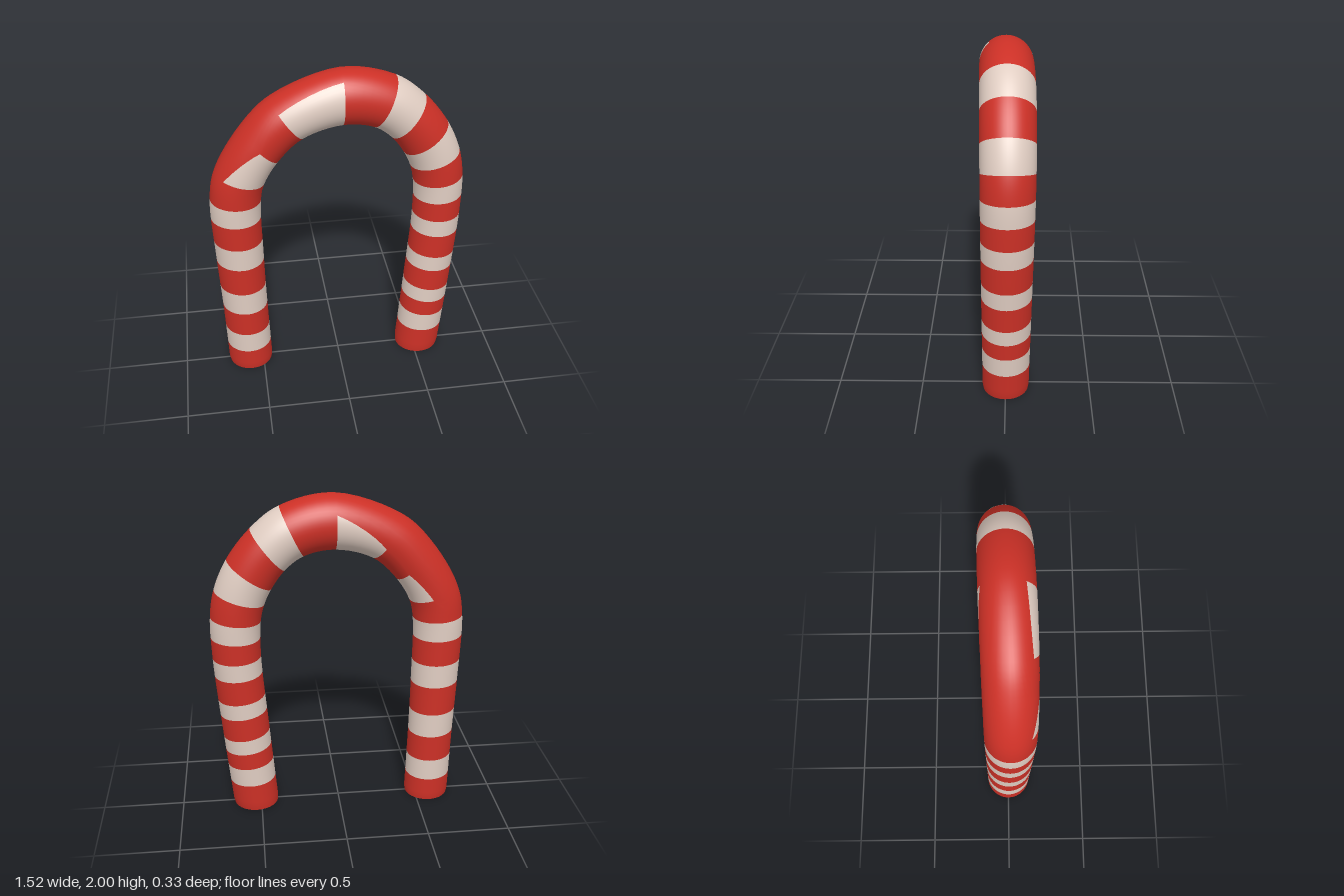
import * as THREE from 'three';

// Outer and inner edge of the bent tube, paired from the right foot over the arch to the left foot
const OUTER = [
  [-0.72, 0], [-0.733, 0.46], [-0.748, 0.81], [-0.756, 1.245], [-0.717, 1.43], [-0.55, 1.7],
  [-0.38, 1.86], [0.02, 2], [0.335, 1.935], [0.505, 1.81], [0.645, 1.635], [0.727, 1.455],
  [0.757, 1.29], [0.757, 1.025], [0.718, 0.495], [0.675, 0],
];
const INNER = [
  [-0.44, 0], [-0.454, 0.45], [-0.46, 0.8], [-0.457, 1.225], [-0.43, 1.34], [-0.345, 1.48],
  [-0.2, 1.615], [0.02, 1.675], [0.2, 1.645], [0.31, 1.565], [0.39, 1.455], [0.435, 1.36],
  [0.46, 1.255], [0.467, 1.03], [0.432, 0.53], [0.39, 0],
];
const LAST = OUTER.length - 1;

// Heights where the colour changes on the straight legs
const RIGHT_LEG = [0.152, 0.292, 0.462, 0.617, 0.805, 0.952, 1.112];
const LEFT_LEG = [1.155, 1.027, 0.917, 0.762, 0.66, 0.512, 0.415, 0.307, 0.182];

// Two stripes on the right of the arch stay red along their outer side:
// front and back limits of that red strip, in degrees, per edge point
const STRIP = { 4: [48, 100], 5: [85, 118], 6: [53, 108], 7: [39, 64] };
const PARTIAL = [4, 6];

const STEPS = 6; // rows per band
const SIDES = 48; // columns around the tube
const EDGE = 8; // columns on each side of the outer line inside the red strip
const FOOT = 0.97; // slight rounding at the feet

const spline = (points) => new THREE.CatmullRomCurve3(
  points.map(([x, y]) => new THREE.Vector3(x, y, 0)), false, 'centripetal');
const outer = spline(OUTER);
const inner = spline(INNER);

// Centre and half width of the tube at position t along the edge points
function section(t) {
  const o = outer.getPoint(t / LAST), n = inner.getPoint(t / LAST);
  return {
    mid: o.clone().add(n).multiplyScalar(0.5),
    half: o.clone().sub(n).multiplyScalar(0.5),
  };
}

// Position on a leg whose centre lies at height y
function atHeight(y, low, high) {
  for (let i = 0; i < 24; i++) {
    const t = (low + high) / 2;
    if (section(t).mid.y < y) low = t;
    else high = t;
  }
  return low;
}

const halfDepth = (y) => 0.138 + 0.01 * y;

// Angle of a column, measured from the outer line towards the front
function columnAngle(j, front, back) {
  if (j <= EDGE) return (j / EDGE) * front;
  if (j >= SIDES - EDGE) return 360 - ((SIDES - j) / EDGE) * back;
  return front + ((j - EDGE) / (SIDES - 2 * EDGE)) * (360 - back - front);
}

function caneGeometry() {
  // Bands alternate red and white between these cuts
  const cuts = [
    0, ...RIGHT_LEG.map((y) => atHeight(y, 0, 3)),
    3, 4, 5, 6, 7, 8, 9, 10, 11, 12,
    ...LEFT_LEG.map((y) => atHeight(y, LAST, 12)), LAST,
  ];
  const rows = (cuts.length - 1) * STEPS;
  const positions = [];
  const red = [], white = [];
  for (let i = 0; i <= rows; i++) {
    const k = Math.min(Math.floor(i / STEPS), cuts.length - 2);
    const f = i / STEPS - k;
    const { mid, half } = section(THREE.MathUtils.lerp(cuts[k], cuts[k + 1], f));
    const from = STRIP[cuts[k]] ?? [60, 60], to = STRIP[cuts[k + 1]] ?? [60, 60];
    const [front, back] = from.map((a, n) => THREE.MathUtils.lerp(a, to[n], f));
    const size = i === 0 || i === rows ? FOOT : 1;
    for (let j = 0; j < SIDES; j++) {
      const a = THREE.MathUtils.degToRad(columnAngle(j, front, back));
      positions.push(
        mid.x + size * half.x * Math.cos(a),
        mid.y + size * half.y * Math.cos(a),
        -0.017 * mid.x * mid.y + size * halfDepth(mid.y) * Math.sin(a));
      if (i === rows) continue;
      const inStrip = j < EDGE || j >= SIDES - EDGE;
      const isWhite = k % 2 === 1 && !(inStrip && PARTIAL.includes(cuts[k]));
      const p = i * SIDES + j, q = i * SIDES + ((j + 1) % SIDES);
      (isWhite ? white : red).push(p, q, p + SIDES, q, q + SIDES, p + SIDES);
    }
  }
  const geometry = new THREE.BufferGeometry();
  geometry.setAttribute('position', new THREE.Float32BufferAttribute(positions, 3));
  geometry.setIndex([...red, ...white]);
  geometry.addGroup(0, red.length, 0);
  geometry.addGroup(red.length, white.length, 1);
  geometry.computeVertexNormals();
  return geometry;
}

export function createModel() {
  const red = new THREE.MeshStandardMaterial({ color: 0xcc3026 });
  red.name = 'candy red';
  const white = new THREE.MeshStandardMaterial({ color: 0xe0cdc2 });
  white.name = 'cream white';

  const group = new THREE.Group();
  group.name = 'stripedCaneArch';

  // Bent, striped tube
  const cane = new THREE.Mesh(caneGeometry(), [red, white]);
  cane.name = 'stripedCane';
  group.add(cane);

  // Flat undersides of both feet
  for (const [name, t] of [['rightFootBase', 0], ['leftFootBase', LAST]]) {
    const { mid, half } = section(t);
    const base = new THREE.Mesh(new THREE.CircleGeometry(1, SIDES).rotateX(Math.PI / 2), red);
    base.scale.set(FOOT * Math.abs(half.x), 1, FOOT * halfDepth(0));
    base.position.x = mid.x;
    base.name = name;
    group.add(base);
  }
  return group;
}
